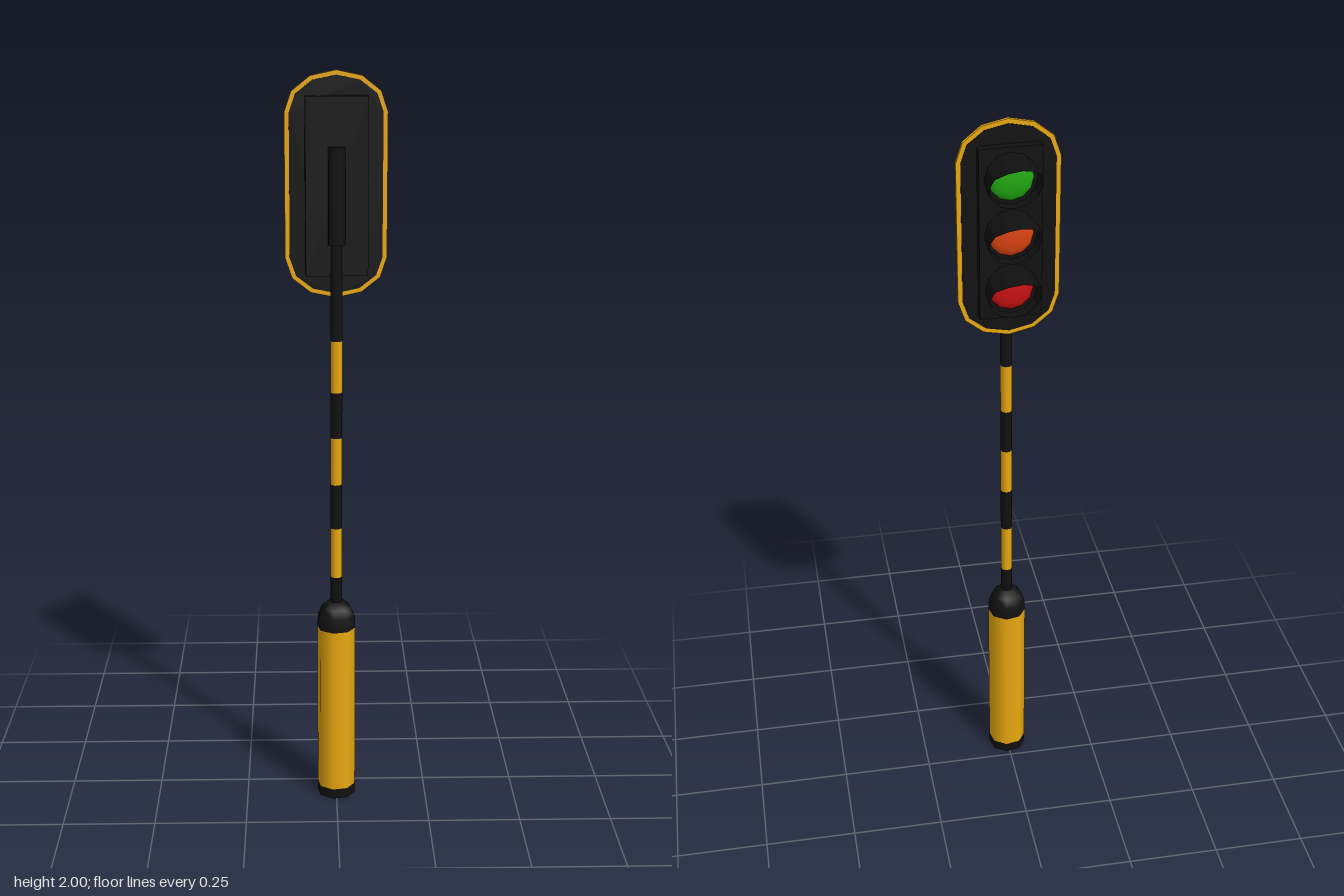
import * as THREE from 'three';

const paint = (color, side = THREE.FrontSide, flatShading = false) =>
  new THREE.MeshStandardMaterial({ color, side, flatShading });
const black = paint(0x111111);
const blackFlat = paint(0x111111, THREE.DoubleSide, true);
const yellow = paint(0xeaa910);

function add(parent, name, geometry, material, x = 0, y = 0, z = 0) {
  const mesh = new THREE.Mesh(geometry, material);
  mesh.name = name;
  mesh.position.set(x, y, z);
  parent.add(mesh);
  return mesh;
}

// Upright cylinder between two heights
function post(parent, name, r, y0, y1, material, open = false) {
  return add(parent, name, new THREE.CylinderGeometry(r, r, y1 - y0, 8, 1, open), material, 0, (y0 + y1) / 2, 0);
}

// Tall plate with faceted round ends, shrunk by inset
function plate(inset, depth) {
  const w = 0.133 - inset, straight = 0.187, cap = 0.105 - inset;
  const pts = [];
  for (const s of [1, -1]) {
    for (let i = 0; i <= 6; i++) {
      const a = (i / 6) * Math.PI;
      pts.push(new THREE.Vector2(s * w * Math.cos(a), s * (straight + cap * Math.sin(a))));
    }
  }
  const g = new THREE.ExtrudeGeometry(new THREE.Shape(pts), { depth, bevelEnabled: false });
  return g.translate(0, 0, -depth / 2);
}

// Twelve-sided visor whose rim sweeps out from bottom to top
function hoodGeometry() {
  const n = 12, r = 0.068, back = -0.025;
  const reach = [-0.062, -0.066, -0.073, -0.088, -0.114, -0.146, -0.156];
  const pos = [], idx = [];
  for (let i = 0; i <= n; i++) {
    const a = (i / n) * Math.PI * 2 - Math.PI / 2;
    const x = r * Math.cos(a), y = r * Math.sin(a);
    pos.push(x, y, back, x, y, reach[i <= 6 ? i : n - i]);
    if (i < n) {
      const k = i * 2;
      idx.push(k, k + 1, k + 2, k + 1, k + 3, k + 2);
    }
  }
  // winding reversed so that the outside is the front
  for (let i = 0; i < idx.length; i += 3) [idx[i + 1], idx[i + 2]] = [idx[i + 2], idx[i + 1]];
  const g = new THREE.BufferGeometry();
  g.setAttribute('position', new THREE.Float32BufferAttribute(pos, 3));
  g.setIndex(idx);
  g.computeVertexNormals();
  return g;
}

export function createModel() {
  const model = new THREE.Group();
  model.name = 'trafficLight';

  // Stand: base, cap, striped pole
  const stand = new THREE.Group();
  stand.name = 'stand';
  stand.position.set(0, 0, 0.068);
  stand.rotation.y = -0.19;
  model.add(stand);
  post(stand, 'footBand', 0.053, 0, 0.028, paint(0x111111, THREE.DoubleSide), true);
  post(stand, 'base', 0.053, 0.028, 0.5, yellow);
  const capProfile = [[0.053, 0.5], [0.051, 0.535], [0.041, 0.56], [0.024, 0.575], [0, 0.578]];
  add(stand, 'baseCap', new THREE.LatheGeometry(capProfile.map(p => new THREE.Vector2(...p)), 8), black);
  const stops = [0.57, 0.648, 0.788, 0.912, 1.042, 1.167, 1.306, 1.6];
  for (let i = 0; i < stops.length - 1; i++) {
    const isYellow = i % 2 === 1;
    post(stand, isYellow ? 'poleStripe' : 'pole', 0.016, stops[i], stops[i + 1], isYellow ? yellow : black);
  }
  post(stand, 'poleSleeve', 0.024, 1.56, 1.81, black);

  // Signal head, turned slightly on the pole, lamps facing -z
  const head = new THREE.Group();
  head.name = 'signalHead';
  head.position.set(0, 1.708, 0.034);
  head.rotation.y = 0.048;
  model.add(head);
  add(head, 'backboardRim', plate(0, 0.01), yellow);
  add(head, 'backboardPanel', plate(0.012, 0.013), black);
  add(head, 'housing', new THREE.BoxGeometry(0.162, 0.458, 0.07), black, 0, 0, 0.004);

  // Lamps with visors
  const hood = hoodGeometry();
  const lens = new THREE.SphereGeometry(0.058, 12, 4, 0, Math.PI * 2, 0, Math.PI / 2);
  lens.scale(1, 0.25, 1).rotateX(-Math.PI / 2);
  const lamps = [['greenLens', 0x22aa11], ['amberLens', 0xdd4411], ['redLens', 0xcc1111]];
  lamps.forEach(([name, color], i) => {
    const y = 0.1485 * (1 - i);
    add(head, 'visor', hood, blackFlat, 0, y, 0);
    add(head, name, lens, paint(color), 0, y, -0.031);
  });
  return model;
}
